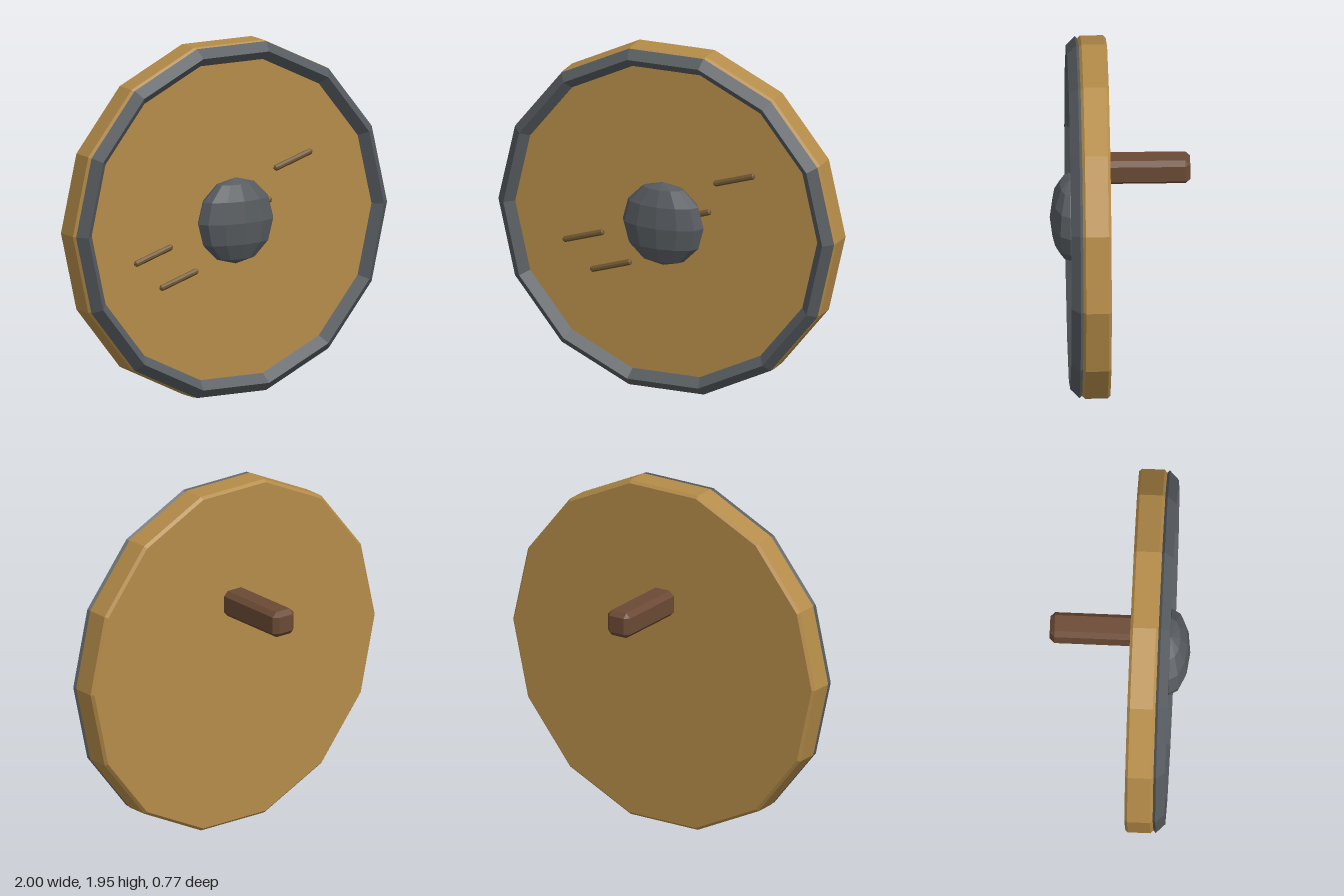
import * as THREE from 'three';
import { ConvexGeometry } from 'three/addons/geometries/ConvexGeometry.js';

const CENTER_Y = 0.975;
const SIDES = 14;

const flat = (color) => new THREE.MeshStandardMaterial({ color, flatShading: true });

// Box with every edge and corner cut off by c
function chamferBox(w, h, d, c) {
  const points = [];
  for (const sx of [-1, 1]) for (const sy of [-1, 1]) for (const sz of [-1, 1]) {
    for (let axis = 0; axis < 3; axis++) {
      const half = [w, h, d].map((size, i) => size / 2 - (i === axis ? 0 : c));
      points.push(new THREE.Vector3(sx * half[0], sy * half[1], sz * half[2]));
    }
  }
  return new ConvexGeometry(points);
}

export function createModel() {
  const group = new THREE.Group();
  const wood = flat(0xb58c49);
  const metal = flat(0x565b5f);
  const grip = flat(0x6b4a35);
  const grain = flat(0x6f5632);

  const add = (name, geometry, material, x, y, z) => {
    const mesh = new THREE.Mesh(geometry, material);
    mesh.name = name;
    mesh.position.set(x, y, z);
    group.add(mesh);
    return mesh;
  };

  // Round wooden board with bevelled edges
  const back = 0.064, front = 0.219, bevel = 0.015;
  const profile = [
    [0, back], [1 - bevel, back], [1, back + bevel],
    [1, front - bevel], [1 - bevel, front], [0, front],
  ].map(([r, z]) => new THREE.Vector2(r, z));
  const board = new THREE.LatheGeometry(profile, SIDES, Math.PI / 2);
  board.rotateX(Math.PI / 2);
  add('board', board, wood, 0, CENTER_Y, 0);

  // Metal rim with a diamond section
  add('rim', new THREE.TorusGeometry(0.947, 0.05, 4, SIDES), metal, 0, CENTER_Y, 0.233);

  // Flattened central boss
  add('boss', new THREE.SphereGeometry(0.24, 12, 6), metal, 0, CENTER_Y + 0.003, 0.275).scale.z = 0.45;

  // Handle behind the board
  add('handle', chamferBox(0.146, 0.146, 0.53, 0.026), grip, 0, 1.29, -0.12);

  // Raised wood-grain strips on the front
  const strip = chamferBox(0.255, 0.032, 0.032, 0.01);
  for (const [x, y] of [[0.4, 1.267], [0.14, 1.025], [-0.495, 0.823], [-0.332, 0.672]]) {
    add('grainStrip', strip, grain, x, y, 0.222).rotation.z = 0.31;
  }

  return group;
}
